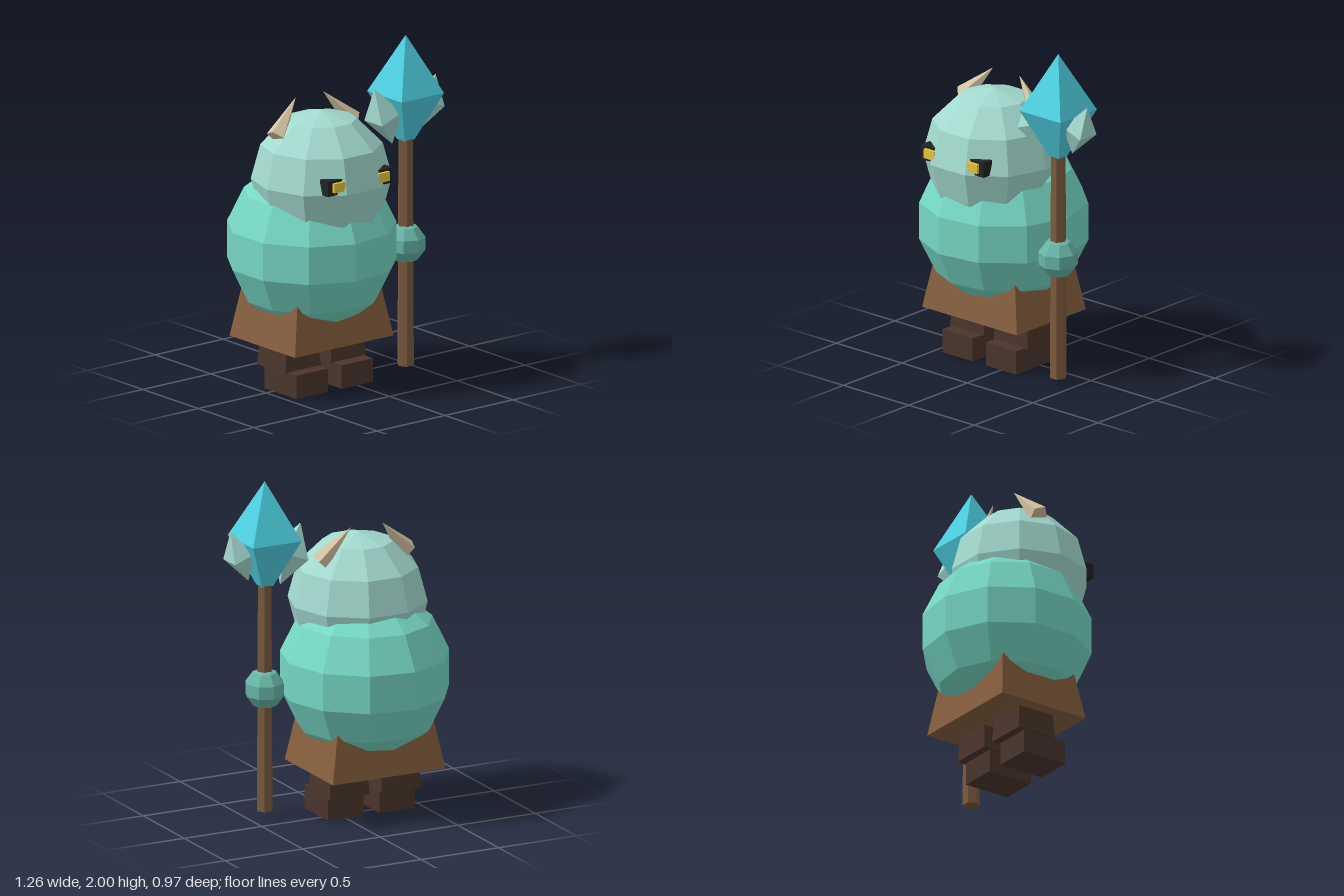
import * as THREE from 'three';

const mat = (name, color) => {
  const m = new THREE.MeshStandardMaterial({ color, flatShading: true });
  m.name = name;
  return m;
};

export function createModel() {
  const teal = mat('body teal', 0x76d7c4);
  const pale = mat('pale teal', 0xa2d9ce);
  const handTeal = mat('hand teal', 0x68b5a6);
  const leather = mat('skirt brown', 0x87603f);
  const wood = mat('staff wood', 0x7c5a3e);
  const dark = mat('dark brown', 0x4a352b);
  const bone = mat('horn bone', 0xd5c4a3);
  const black = mat('eye black', 0x222222);
  const yellow = mat('eye yellow', 0xf4d03f);
  const cyan = mat('crystal cyan', 0x4dd0e1);

  const model = new THREE.Group();
  model.name = 'staffBearer';
  const add = (parent, name, geometry, material, x, y, z) => {
    const mesh = new THREE.Mesh(geometry, material);
    mesh.name = name;
    mesh.position.set(x, y, z);
    parent.add(mesh);
    return mesh;
  };

  // Square frustum, given its half widths
  const frustum = (top, bottom, height, depthScale = 1) =>
    new THREE.CylinderGeometry(top * Math.SQRT2, bottom * Math.SQRT2, height, 4)
      .rotateY(Math.PI / 4).scale(1, 1, depthScale);

  // Figure, centred on its own middle line
  const figure = new THREE.Group();
  figure.name = 'figure';
  figure.position.x = -0.166;
  model.add(figure);

  add(figure, 'body', new THREE.SphereGeometry(0.5, 11, 7).rotateY(Math.PI), teal, 0, 0.832, 0);
  add(figure, 'head', new THREE.SphereGeometry(0.404, 10, 6), pale, 0, 1.241, 0.09);
  add(figure, 'skirt', frustum(0.3, 0.3625, 0.34, 0.814), leather, 0, 0.45, 0);

  for (const s of [1, -1]) {
    const side = s > 0 ? 'left' : 'right';
    // Legs and boots
    add(figure, side + 'Leg', frustum(0.113, 0.13, 0.2), dark, s * 0.166, 0.235, 0);
    add(figure, side + 'Boot', new THREE.BoxGeometry(0.23, 0.14, 0.29), dark, s * 0.166, 0.07, 0.065);
    // Eyes, partly sunk into the head
    add(figure, side + 'EyeSocket', new THREE.BoxGeometry(0.115, 0.09, 0.07), black, s * 0.181, 1.29, 0.405);
    add(figure, side + 'Eye', new THREE.BoxGeometry(0.08, 0.055, 0.03), yellow, s * 0.164, 1.2925, 0.444);
    // Horns, leaning inward and back
    const base = new THREE.Vector3(s * 0.28, 1.515, 0.025);
    const tip = new THREE.Vector3(s * 0.1, 1.71, -0.02);
    const axis = tip.clone().sub(base);
    const horn = add(figure, side + 'Horn', new THREE.ConeGeometry(0.06, axis.length(), 5), bone,
      ...base.clone().add(tip).multiplyScalar(0.5).toArray());
    horn.quaternion.setFromUnitVectors(new THREE.Vector3(0, 1, 0), axis.normalize());
  }

  // Staff with hand and crystals
  const staff = new THREE.Group();
  staff.name = 'staff';
  staff.position.set(0.395, 0, 0.163);
  model.add(staff);

  add(staff, 'shaft', new THREE.CylinderGeometry(0.044, 0.05, 1.345, 6).rotateY(Math.PI / 6), wood, 0, 0.7125, 0);
  add(staff, 'hand', new THREE.SphereGeometry(0.12, 8, 5), handTeal, 0, 0.765, 0);
  add(staff, 'crystalTop', frustum(0, 0.156, 0.34), cyan, 0, 1.83, 0);
  add(staff, 'crystalBottom', frustum(0.156, 0.036, 0.28), cyan, 0, 1.52, 0);

  // Side shards: double pyramids tilted outward
  const shards = [
    ['leftShard', 0.1635, 1.574, 0.071, 0.163, -0.36],
    ['rightShard', -0.165, 1.545, 0.08, 0.187, 0.36],
  ];
  for (const [name, x, y, half, height, tilt] of shards) {
    const shard = new THREE.Group();
    shard.name = name;
    shard.position.set(x, y, 0);
    shard.rotation.z = tilt;
    add(shard, name + 'Upper', frustum(0, half, height), pale, 0, height / 2, 0);
    add(shard, name + 'Lower', frustum(half, 0, height), pale, 0, -height / 2, 0);
    staff.add(shard);
  }

  return model;
}
